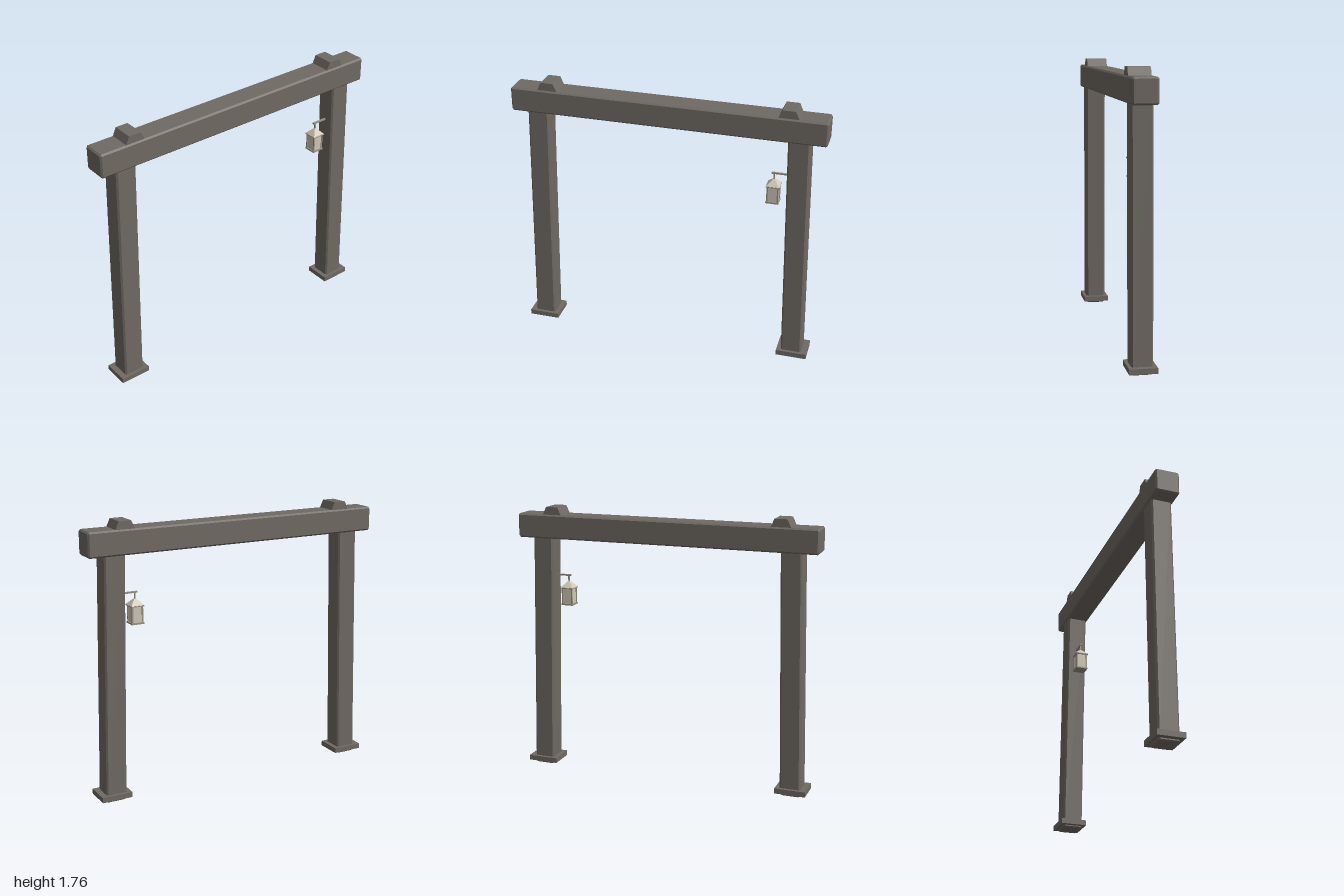
import * as THREE from 'three';

const mat = (name, color) => {
  const m = new THREE.MeshStandardMaterial({ color });
  m.name = name;
  m.flatShading = true;
  return m;
};

// Box with chamfered edges: an octagonal outline stepped in at both ends of its length (y)
function chamferBox(w, h, d, c) {
  const x = w / 2, z = d / 2, y = h / 2;
  const ring = (inset, yy) => {
    const a = x - inset, b = z - inset, k = c - inset * 0.5;
    return [[a, b - k], [a - k, b], [-a + k, b], [-a, b - k], [-a, -b + k], [-a + k, -b], [a - k, -b], [a, -b + k]]
      .map(([px, pz]) => [px, yy, pz]);
  };
  const rings = [ring(c, -y), ring(0, -y + c), ring(0, y - c), ring(c, y)];
  const pos = rings.flat(2), idx = [];
  for (let r = 0; r < 3; r++) {
    for (let i = 0; i < 8; i++) {
      const a = r * 8 + i, b = r * 8 + (i + 1) % 8;
      idx.push(a, b, a + 8, b, b + 8, a + 8);
    }
  }
  for (let i = 1; i < 7; i++) idx.push(0, i + 1, i, 24, 24 + i, 25 + i);
  // The outline runs clockwise seen from above, so turn every face outwards
  for (let i = 0; i < idx.length; i += 3) [idx[i + 1], idx[i + 2]] = [idx[i + 2], idx[i + 1]];
  const g = new THREE.BufferGeometry();
  g.setAttribute('position', new THREE.Float32BufferAttribute(pos, 3));
  g.setIndex(idx);
  const flat = g.toNonIndexed();
  flat.computeVertexNormals();
  return flat;
}

export function createModel() {
  const model = new THREE.Group();
  const wood = mat('dark timber', 0x706a63);
  const frame = mat('lantern frame', 0x9c9486);
  const paper = mat('lantern paper', 0xd0c7b5);

  const add = (parent, name, geo, material, x = 0, y = 0, z = 0) => {
    const m = new THREE.Mesh(geo, material);
    m.name = name;
    m.position.set(x, y, z);
    parent.add(m);
    return m;
  };
  const box = (w, h, d) => new THREE.BoxGeometry(w, h, d);

  // Crossbeam
  add(model, 'crossbeam', chamferBox(0.156, 2, 0.154, 0.01), wood, 0, 1.638).rotation.z = Math.PI / 2;

  // Wedge outline for the pegs on top of the beam
  const wedge = new THREE.Shape([[-0.064, 0], [0.064, 0], [0.04, 0.052], [-0.04, 0.052]]
    .map(([x, y]) => new THREE.Vector2(x, y)));

  for (const s of [-1, 1]) {
    const side = s > 0 ? 'left' : 'right';
    // Posts lean inwards towards the beam
    const post = chamferBox(0.135, 1.6, 0.13, 0.01);
    const p = post.attributes.position;
    for (let i = 0; i < p.count; i++) p.setX(i, p.getX(i) - s * 0.0226 * p.getY(i));
    post.computeVertexNormals();
    add(model, side + 'Post', post, wood, s * 0.846, 0.8);
    add(model, side + 'Foot', box(0.2, 0.034, 0.17), wood, s * 0.867, 0.034);
    const peg = new THREE.ExtrudeGeometry(wedge, { depth: 0.136, bevelEnabled: false });
    add(model, side + 'Peg', peg, wood, s * 0.76, 1.713, -0.068);
  }

  // Lantern hung from a bracket on the left post
  const lantern = new THREE.Group();
  lantern.name = 'lantern';
  lantern.position.set(0.68, 0, 0);
  model.add(lantern);
  add(lantern, 'bracket', box(0.12, 0.01, 0.012), frame, 0.043, 1.314);
  add(lantern, 'hanger', box(0.008, 0.05, 0.008), frame, 0, 1.288);
  const roof = new THREE.CylinderGeometry(0.008, 0.062, 0.04, 4, 1);
  roof.rotateY(Math.PI / 4);
  add(lantern, 'roof', roof, paper, 0, 1.254);
  add(lantern, 'topPlate', box(0.086, 0.008, 0.086), frame, 0, 1.232);
  add(lantern, 'bottomPlate', box(0.082, 0.01, 0.082), frame, 0, 1.123);
  add(lantern, 'paperBody', box(0.066, 0.1, 0.066), paper, 0, 1.178);
  for (const x of [-1, 1]) {
    for (const z of [-1, 1]) {
      add(lantern, 'cornerBar', box(0.009, 0.102, 0.009), frame, x * 0.033, 1.178, z * 0.033);
    }
  }
  return model;
}
